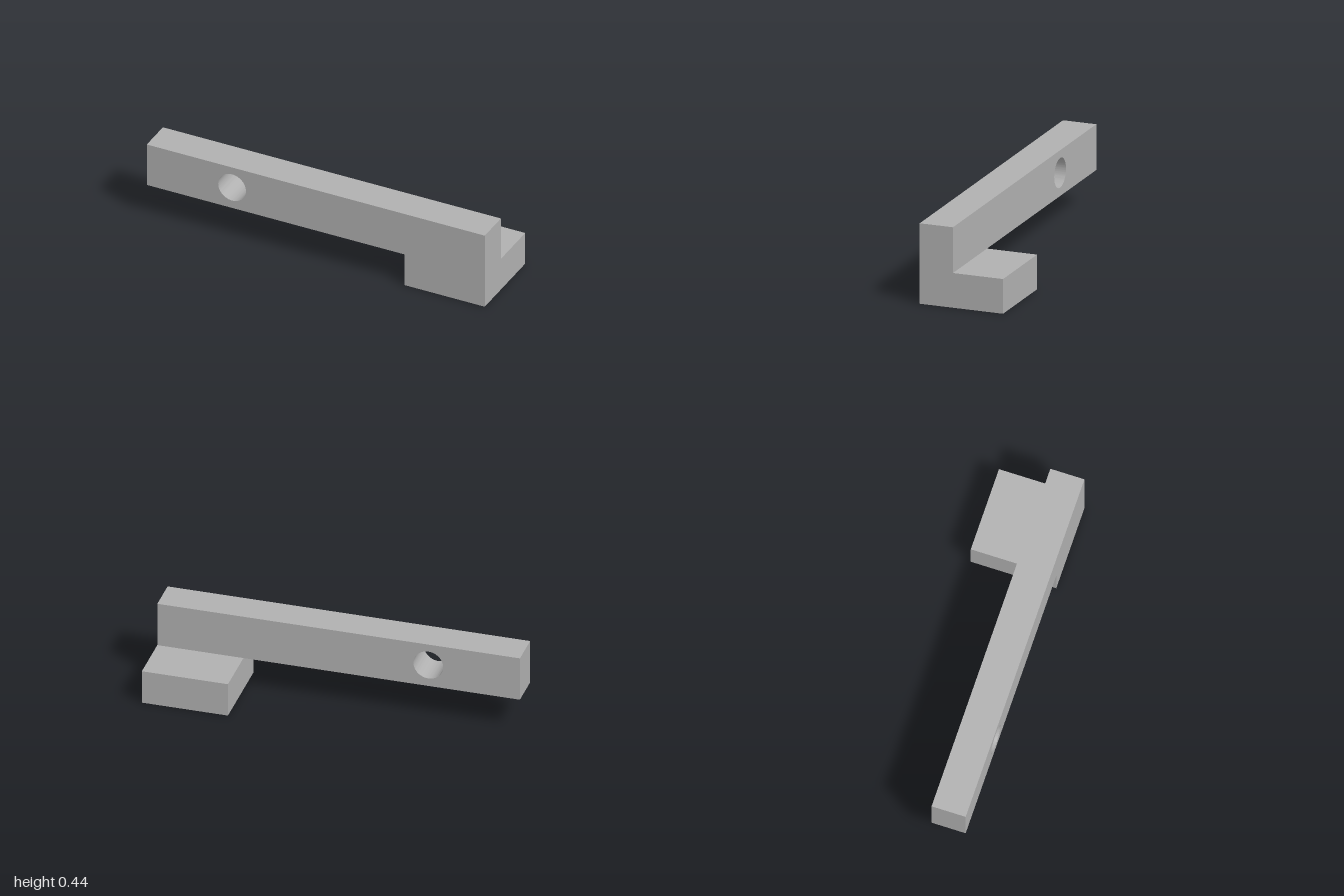
import * as THREE from 'three';
import { toCreasedNormals } from 'three/addons/utils/BufferGeometryUtils.js';

export function createModel() {
  const model = new THREE.Group();
  model.name = 'bracket';
  const grey = new THREE.MeshStandardMaterial({ color: 0xb0b0b0 });
  grey.name = 'plain grey';

  const ledgeY = 0.192, topY = 0.445;   // foot top / bar top
  const footX = 0.525;                  // inner side of the foot
  const backZ = -0.238, midZ = 0.048, frontZ = 0.238;

  // Long bar with a drop at one end and a round through-hole
  const profile = new THREE.Shape([
    [-1, ledgeY], [footX, ledgeY], [footX, 0], [1, 0], [1, topY], [-1, topY],
  ].map(([x, y]) => new THREE.Vector2(x, y)));
  const hole = new THREE.Path();
  hole.absarc(-0.495, 0.32, 0.082, 0, Math.PI * 2, true);
  profile.holes.push(hole);
  const barGeometry = new THREE.ExtrudeGeometry(profile, {
    depth: frontZ - midZ, bevelEnabled: false, curveSegments: 48,
  });
  const bar = new THREE.Mesh(toCreasedNormals(barGeometry, 0.5), grey);
  bar.name = 'drilledBar';
  bar.position.z = midZ;
  model.add(bar);

  // Low foot block reaching back from the drop
  const foot = new THREE.Mesh(
    new THREE.BoxGeometry(1 - footX, ledgeY, midZ - backZ), grey);
  foot.name = 'foot';
  foot.position.set((1 + footX) / 2, ledgeY / 2, (midZ + backZ) / 2);
  model.add(foot);

  return model;
}
